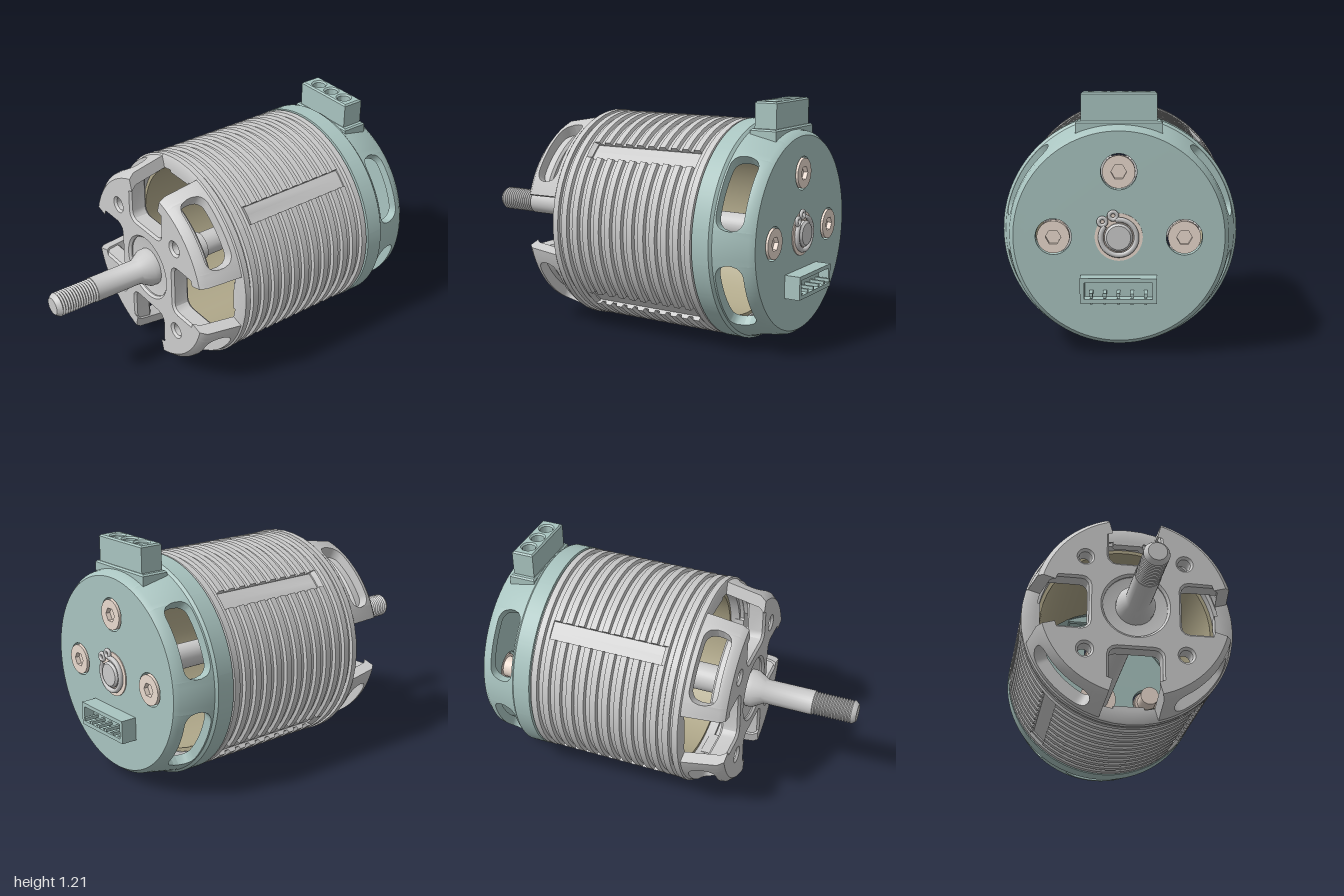
import * as THREE from 'three';
import { toCreasedNormals } from 'three/addons/utils/BufferGeometryUtils.js';

const GREY = 0xcccccc, TEAL = 0xa9c4c0, STEEL = 0xeadace, WINDING = 0xb0a88a;
const rad = THREE.MathUtils.degToRad;

// Sweeps a closed (r, z) section, counterclockwise, around the z axis
function sweep(a0, a1, n, section) {
  const pos = [], full = a1 - a0 >= 360;
  const ring = i => {
    const deg = a0 + (a1 - a0) * i / n, t = rad(deg);
    return section(deg).map(([r, z]) => [r * Math.cos(t), r * Math.sin(t), z]);
  };
  for (let i = 0; i < n; i++) {
    const A = ring(i), B = ring(i + 1);
    A.forEach((p, j) => {
      const k = (j + 1) % A.length;
      pos.push(...p, ...B[j], ...B[k], ...p, ...B[k], ...A[k]);
    });
  }
  if (!full) {
    [[0, a0], [n, a1]].forEach(([i, deg], end) => {
      const P = ring(i);
      const faces = THREE.ShapeUtils.triangulateShape(section(deg).map(p => new THREE.Vector2(...p)), []);
      for (const [a, b, c] of faces) pos.push(...P[a], ...(end ? P[c] : P[b]), ...(end ? P[b] : P[c]));
    });
  }
  const g = new THREE.BufferGeometry();
  g.setAttribute('position', new THREE.Float32BufferAttribute(pos, 3));
  return toCreasedNormals(g, rad(35));
}

const revolve = (pts, n = 48) => sweep(0, 360, n, () => pts);
const tube = (r0, r1, z0, z1) => revolve([[r0, z0], [r1, z0], [r1, z1], [r0, z1]]);

// Section of a wall of given thickness under an outer profile, between two heights
function wall(profile, thick, za, zb) {
  const rAt = z => {
    let i = 0;
    while (i < profile.length - 2 && z > profile[i + 1][1]) i++;
    const [[r0, z0], [r1, z1]] = [profile[i], profile[i + 1]];
    return r0 + (r1 - r0) * (z - z0) / (z1 - z0);
  };
  const zs = [za, ...profile.map(p => p[1]).filter(z => z > za + 1e-4 && z < zb - 1e-4), zb];
  const outer = zs.map(z => [rAt(z), z]);
  return [...outer, ...outer.map(([r, z]) => [r - thick, z]).reverse()];
}

// Curved panel above and below a rounded window
function windowPanels(profile, thick, a0, a1, w0, w1, zMin, zMax) {
  const corner = 7, cz = 0.055;
  const inset = a => {
    const d = Math.min(Math.max(Math.min(a - a0, a1 - a), 0), corner);
    return cz * (1 - Math.sqrt(Math.max(0, 1 - ((corner - d) / corner) ** 2)));
  };
  return [
    sweep(a0, a1, 40, a => wall(profile, thick, zMin, w0 + inset(a))),
    sweep(a0, a1, 40, a => wall(profile, thick, w1 - inset(a), zMax)),
  ];
}

function circleHole(shape, x, y, r) {
  shape.holes.push(new THREE.Path().absarc(x, y, r, 0, Math.PI * 2, true));
}
const rect = (w, h) => new THREE.Shape([[-w, -h], [w, -h], [w, h], [-w, h]].map(p => new THREE.Vector2(...p)));
const extrude = (shape, depth, z, bevel = 0) => toCreasedNormals(new THREE.ExtrudeGeometry(shape, {
  depth: depth - 2 * bevel, bevelEnabled: bevel > 0, bevelSize: bevel, bevelThickness: bevel,
  bevelOffset: -bevel, bevelSegments: 1, curveSegments: 24,
}).translate(0, 0, z + bevel), rad(30));

export function createModel() {
  const model = new THREE.Group();
  model.position.y = 0.555;
  const root = new THREE.Group();
  root.add(model);
  const add = (name, geo, color = GREY) => {
    const m = new THREE.Mesh(geo, new THREE.MeshStandardMaterial({ color }));
    m.name = name;
    model.add(m);
    return m;
  };

  // Finned can with four flat pockets on the diagonals
  const pocket = [0.527, -0.53, 0.08];
  const fins = [[0.535, -0.61]], pitch = 0.066;
  for (let i = 0; i < 12; i++) {
    const z = -0.595 + i * pitch;
    fins.push([0.535, z], [0.551, z + 0.006], [0.551, z + 0.038], [0.535, z + 0.044]);
  }
  fins.push([0.535, 0.2]);
  const inner = [[0.47, 0.2], [0.47, -0.61]];
  const [pr, p0, p1] = pocket;
  const pocketed = [...fins.filter(p => p[1] < p0), [0.535, p0], [pr, p0], [pr, p1], [0.535, p1],
    ...fins.filter(p => p[1] > p1), ...inner];
  for (let k = 0; k < 4; k++) {
    const c = 45 + 90 * k;
    add('finnedCan', sweep(c + 5, c + 85, 14, () => [...fins, ...inner]));
    add('canPocket', sweep(c - 5, c + 5, 2, () => pocketed));
  }
  add('innerLiner', tube(0.452, 0.472, -0.6, 0.15), WINDING);

  // Front bell: rim ring, four windowed arms and a notched face plate
  const bell = [[0.555, 0.19], [0.555, 0.22], [0.546, 0.226], [0.512, 0.41], [0.485, 0.44]];
  add('bellRim', revolve(wall(bell, 0.065, 0.19, 0.226)));
  for (let k = 0; k < 4; k++) {
    const c = 45 + 90 * k;
    for (const s of [-1, 1]) {
      const [a, b] = s < 0 ? [c - 29, c - 21] : [c + 21, c + 29];
      add('bellPost', sweep(a, b, 4, () => wall(bell, 0.065, 0.22, 0.44)));
    }
    for (const g of windowPanels(bell, 0.065, c - 21, c + 21, 0.25, 0.39, 0.22, 0.44)) add('bellArm', g);
    const tab = add('rimTab', new THREE.BoxGeometry(0.16, 0.03, 0.05).translate(0, 0.475, 0.2));
    tab.rotation.z = k * Math.PI / 2;
  }
  const half = 0.135, R = 0.462, depth = 0.235, start = Math.asin(half / R);
  const outline = [];
  for (let k = 0; k < 4; k++) {
    const local = [];
    for (let i = 0; i <= 14; i++) {
      const t = start + (Math.PI / 2 - 2 * start) * i / 14;
      local.push(new THREE.Vector2(R * Math.cos(t), R * Math.sin(t)));
    }
    const fillet = [0, 1, 2, 3].map(i => i * Math.PI / 6)
      .map(t => [half - 0.04 + 0.04 * Math.cos(t), depth + 0.04 - 0.04 * Math.sin(t)]);
    fillet.forEach(p => local.push(new THREE.Vector2(...p)));
    [...fillet].reverse().forEach(([x, y]) => local.push(new THREE.Vector2(-x, y)));
    local.forEach(p => outline.push(p.rotateAround(new THREE.Vector2(), k * Math.PI / 2)));
  }
  const plate = new THREE.Shape(outline);
  for (const x of [-0.255, 0.255]) for (const y of [-0.255, 0.255]) circleHole(plate, x, y, 0.033);
  circleHole(plate, 0, 0, 0.165);
  add('bellFace', extrude(plate, 0.1, 0.34, 0.012));
  add('bellHub', revolve([[0.05, 0.29], [0.14, 0.29], [0.14, 0.34], [0.18, 0.34], [0.18, 0.425],
    [0.155, 0.418], [0.05, 0.418]]));

  // Shaft with collar and threaded tip
  add('shaft', revolve([[0, -0.93], [0.055, -0.93], [0.065, -0.92], [0.065, 0.1], [0.075, 0.1], [0.075, 0.41],
    [0.1, 0.41], [0.1, 0.45], [0.07, 0.5], [0.065, 0.51], [0.065, 0.77], [0, 0.77]], 32));
  const thread = [[0, 0.76]];
  for (let i = 0; i < 15; i++) thread.push([0.054, 0.765 + i * 0.0145], [0.063, 0.772 + i * 0.0145]);
  thread.push([0.058, 0.985], [0.045, 1], [0, 1]);
  add('shaftThread', revolve(thread, 32));

  // Rear cap with six windows, the top one holding the terminal block
  const cap = [[0.485, -0.9], [0.505, -0.875], [0.54, -0.702], [0.553, -0.69], [0.553, -0.6]];
  for (let k = 0; k < 6; k++) {
    const c = 30 + 60 * k;
    for (const g of windowPanels(cap, 0.05, c - 21, c + 21, -0.845, -0.71, -0.9, -0.6)) add('rearCapWindow', g, TEAL);
    add('rearCapPost', sweep(c + 21, c + 39, 6, () => wall(cap, 0.05, -0.9, -0.6)), TEAL);
  }
  const screws = [[0, 0.3], [0.3, 0], [-0.3, 0]];
  const rear = new THREE.Shape().absarc(0, 0, 0.46, 0, Math.PI * 2);
  screws.forEach(([x, y]) => circleHole(rear, x, y, 0.083));
  circleHole(rear, 0, 0, 0.11);
  add('rearCapFace', extrude(rear, 0.045, -0.9), TEAL);
  add('rearBearing', tube(0.06, 0.11, -0.905, -0.84), STEEL);

  // Screws with a hex socket
  const head = new THREE.Shape().absarc(0, 0, 0.075, 0, Math.PI * 2);
  const hex = new THREE.Path();
  hex.setFromPoints([...Array(7).keys()].map(i =>
    new THREE.Vector2(0.036 * Math.cos(-i * Math.PI / 3), 0.036 * Math.sin(-i * Math.PI / 3))));
  head.holes.push(hex);
  for (const [x, y] of screws) {
    add('screwHead', extrude(head, 0.035, -0.908), STEEL).position.set(x, y, 0);
    add('screwShank', revolve([[0, -0.885], [0.07, -0.885], [0.07, -0.86], [0.055, -0.86], [0.055, -0.74], [0, -0.74]], 24),
      STEEL).position.set(x, y, 0);
  }

  // Retaining clip with two eared ends
  const clip = new THREE.Group();
  clip.name = 'retainingClip';
  clip.position.z = -0.915;
  clip.rotation.z = rad(60);
  const clipMat = new THREE.MeshStandardMaterial({ color: GREY });
  clip.add(new THREE.Mesh(new THREE.TorusGeometry(0.082, 0.012, 8, 40, rad(320)).rotateZ(rad(20)), clipMat));
  for (const s of [-1, 1]) {
    const ear = new THREE.Mesh(new THREE.TorusGeometry(0.018, 0.009, 8, 16), clipMat);
    ear.position.set(0.1, s * 0.028, 0);
    clip.add(ear);
  }
  model.add(clip);

  // Terminal block on top, bored through three times
  const block = (name, w, d, y0, y1) => {
    const s = rect(w, d);
    for (const x of [-0.1, 0, 0.1]) circleHole(s, x, 0, 0.034);
    add(name, extrude(s, y1 - y0, y0, 0.008).rotateX(-Math.PI / 2).translate(0, 0, -0.78), TEAL);
  };
  block('terminalBlock', 0.175, 0.058, 0.44, 0.656);
  block('terminalBase', 0.2, 0.07, 0.43, 0.525);

  // Signal socket on the rear face: open frame, latch slots and five pins
  const socket = rect(0.175, 0.058);
  socket.holes.push(new THREE.Path(rect(0.155, 0.038).getPoints().reverse()));
  add('socketFrame', extrude(socket, 0.08, -0.98).translate(0, -0.235, 0), TEAL);
  add('socketFloor', new THREE.BoxGeometry(0.32, 0.085, 0.02).translate(0, -0.235, -0.915), TEAL);
  for (let i = -2; i <= 2; i++) {
    add('socketPin', new THREE.BoxGeometry(0.016, 0.016, 0.09).translate(i * 0.062, -0.25, -0.955), TEAL);
    add('socketRib', new THREE.BoxGeometry(0.012, 0.03, 0.05).translate(i * 0.062, -0.285, -0.945), TEAL);
  }
  return root;
}
